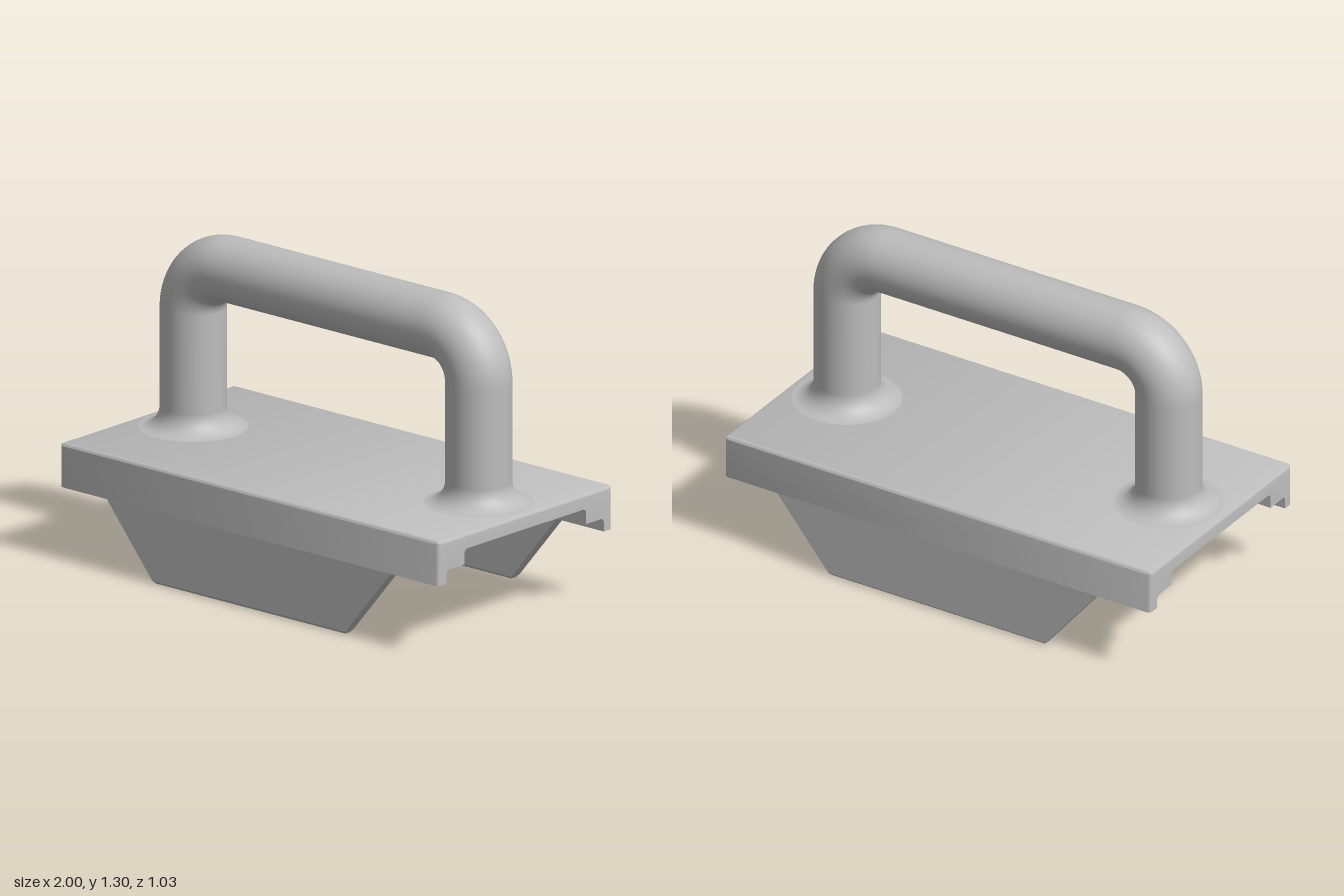
import * as THREE from 'three';
import { toCreasedNormals } from 'three/addons/utils/BufferGeometryUtils.js';

const TOP = 0.483, HALF_Z = 0.517, EDGE = 0.018;   // deck top, half depth, edge rounding
const CHEEK_T = 0.05, CHEEK_TOP = 0.3, CHAMFER = 0.012;
const BAR_R = 0.133, LEG_X = 0.755, BEND_R = 0.195, FLARE = 0.085;
const BEND_X = LEG_X - BEND_R, BEND_Y = 0.975;

export function createModel() {
  const group = new THREE.Group();
  const steel = new THREE.MeshStandardMaterial({ color: 0xbdbdbd });
  steel.name = 'grey metal';
  const add = (name, geometry, x = 0, y = 0, z = 0) => {
    const mesh = new THREE.Mesh(geometry, steel);
    mesh.name = name;
    mesh.position.set(x, y, z);
    group.add(mesh);
    return mesh;
  };

  add('deck', deckGeometry());

  // Side cheeks with slots and a chamfered bottom edge
  for (const [side, s] of [['front', 1], ['back', -1]]) {
    const z = s * (HALF_Z - CHEEK_T / 2);
    add(side + 'Cheek', cheekGeometry(), 0, 0, z);
    add(side + 'CheekChamfer', chamferGeometry(), 0, CHAMFER / 2, z);
  }

  // Handle legs, flaring into the deck
  const profile = [];
  for (let i = 0; i <= 10; i++) {
    const a = (i / 10) * Math.PI / 2;
    profile.push(new THREE.Vector2(
      BAR_R + FLARE * (1 - Math.sin(a)), TOP + FLARE * (1 - Math.cos(a))));
  }
  profile.push(new THREE.Vector2(BAR_R, BEND_Y));
  const leg = new THREE.LatheGeometry(profile, 48);
  const elbow = new THREE.TorusGeometry(BEND_R, BAR_R, 48, 20, Math.PI / 2);
  for (const [side, s] of [['left', 1], ['right', -1]]) {
    add(side + 'HandleLeg', leg, s * LEG_X);
    const bend = add(side + 'HandleBend', elbow, s * BEND_X, BEND_Y);
    if (s < 0) bend.rotation.z = Math.PI / 2;
  }

  // Horizontal grip
  const grip = new THREE.CylinderGeometry(BAR_R, BAR_R, 2 * BEND_X, 48, 1, true);
  grip.rotateZ(Math.PI / 2);
  add('handleGrip', grip, 0, BEND_Y + BEND_R);
  return group;
}

// Stepped channel section run along x, with rounded top and end edges
function deckGeometry() {
  const inner = HALF_Z - CHEEK_T, c = CHAMFER;
  const half = [[0.36 - c, 0.418], [0.36, 0.418 - c], [0.36, 0.355],
    [inner - c, 0.355], [inner, 0.355 - c], [inner, CHEEK_TOP], [HALF_Z, CHEEK_TOP]];
  const shape = new THREE.Shape();
  half.forEach(([z, y], i) => (i ? shape.lineTo(z, y) : shape.moveTo(z, y)));
  shape.lineTo(HALF_Z, TOP - EDGE);
  shape.absarc(HALF_Z - EDGE, TOP - EDGE, EDGE, 0, Math.PI / 2);
  shape.absarc(EDGE - HALF_Z, TOP - EDGE, EDGE, Math.PI / 2, Math.PI);
  [...half].reverse().forEach(([z, y]) => shape.lineTo(-z, y));
  shape.closePath();

  const geometry = new THREE.ExtrudeGeometry(shape,
    { depth: 9, steps: 9, bevelEnabled: false, curveSegments: 4 });
  const p = geometry.attributes.position;
  for (let i = 0; i < p.count; i++) {
    // Rows 0-4 and 5-9 follow a quarter round at each end
    const row = Math.round(p.getZ(i));
    const a = (row < 5 ? 4 - row : row - 5) * Math.PI / 8;
    const inset = EDGE * (1 - Math.cos(a));
    const x = 1 - EDGE + EDGE * Math.sin(a);
    p.setXYZ(i,
      THREE.MathUtils.clamp(p.getX(i), inset - HALF_Z, HALF_Z - inset),
      Math.min(p.getY(i), TOP - inset),
      row < 5 ? -x : x);
  }
  geometry.rotateY(Math.PI / 2);
  return toCreasedNormals(geometry, 0.6);
}

// Trapezoid plate with two upright slots
function cheekGeometry() {
  const shape = new THREE.Shape();
  shape.moveTo(-0.51, CHAMFER);
  shape.lineTo(0.51, CHAMFER);
  shape.lineTo(0.75, CHEEK_TOP);
  shape.lineTo(-0.75, CHEEK_TOP);
  shape.closePath();
  for (const x of [-0.32, 0.32]) {
    const slot = new THREE.Path();
    slot.absarc(x, 0.135, 0.04, 0, Math.PI);
    slot.absarc(x, 0.115, 0.04, Math.PI, 2 * Math.PI);
    slot.closePath();
    shape.holes.push(slot);
  }
  const geometry = new THREE.ExtrudeGeometry(shape,
    { depth: CHEEK_T, bevelEnabled: false, curveSegments: 12 });
  geometry.translate(0, 0, -CHEEK_T / 2);
  return toCreasedNormals(geometry, 0.6);
}

// Bottom strip of a cheek, narrowed towards the ground
function chamferGeometry() {
  const geometry = new THREE.BoxGeometry(1.02, CHAMFER, CHEEK_T).toNonIndexed();
  const p = geometry.attributes.position;
  for (let i = 0; i < p.count; i++) {
    if (p.getY(i) > 0) continue;
    p.setX(i, Math.sign(p.getX(i)) * 0.5);
    p.setZ(i, Math.sign(p.getZ(i)) * (CHEEK_T / 2 - CHAMFER));
  }
  geometry.computeVertexNormals();
  return geometry;
}
